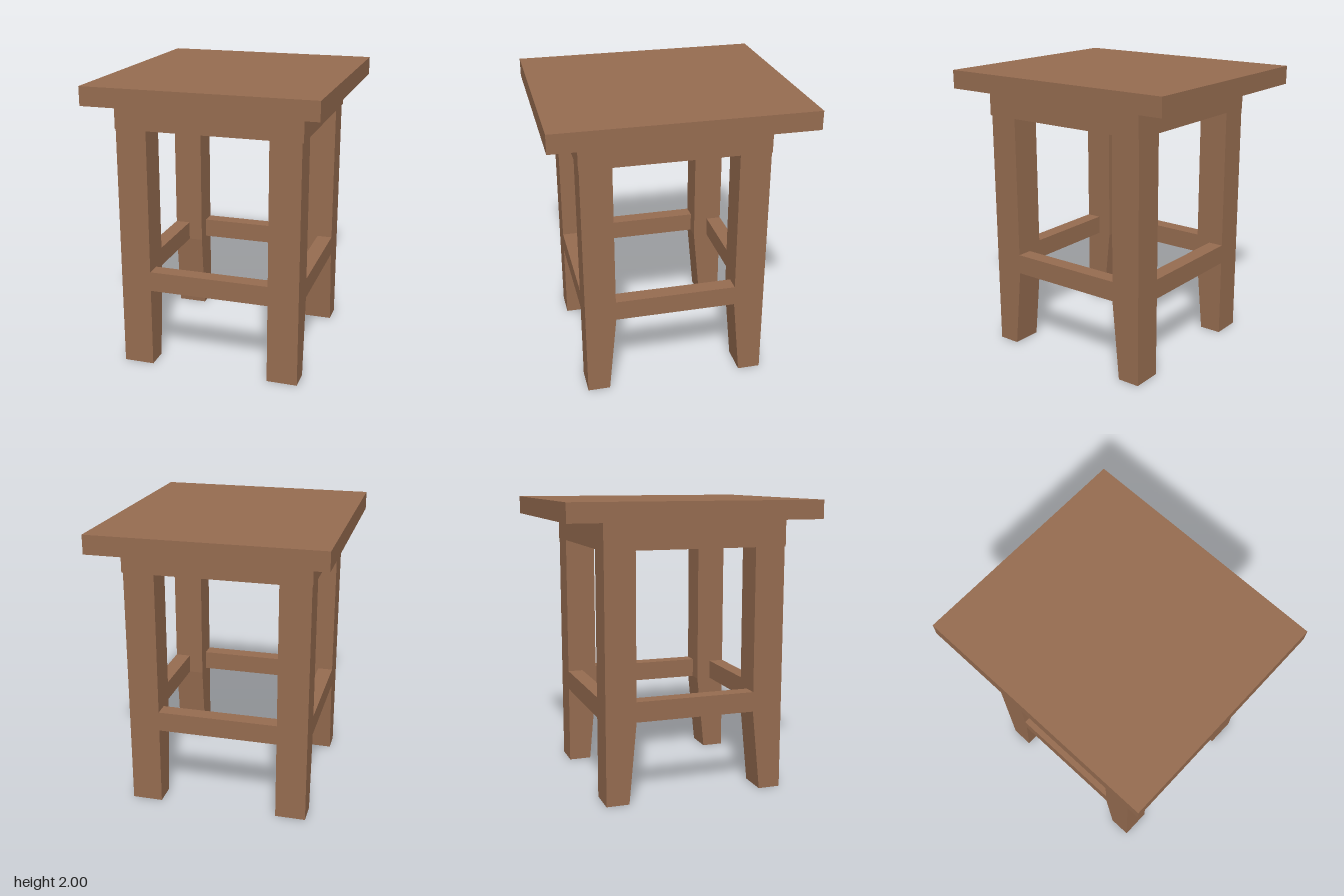
import * as THREE from 'three';

export function createModel() {
  const model = new THREE.Group();
  model.name = 'stool';
  const wood = new THREE.MeshStandardMaterial({ color: 0x966c50 });
  wood.name = 'brown wood';

  // Box given by its extents on each axis
  function box(name, [x0, x1], [y0, y1], [z0, z1]) {
    const mesh = new THREE.Mesh(new THREE.BoxGeometry(x1 - x0, y1 - y0, z1 - z0), wood);
    mesh.position.set((x0 + x1) / 2, (y0 + y1) / 2, (z0 + z1) / 2);
    mesh.name = name;
    model.add(mesh);
  }

  // Leg: side profile tapering on its inner face, extruded along x
  function leg(name, [x0, x1], outer, inner, foot) {
    const profile = new THREE.Shape([
      new THREE.Vector2(outer, 0),
      new THREE.Vector2(outer, 1.69),
      new THREE.Vector2(inner, 1.69),
      new THREE.Vector2(inner, 0.56),
      new THREE.Vector2(foot, 0),
    ]);
    const geometry = new THREE.ExtrudeGeometry(profile, { depth: x1 - x0, bevelEnabled: false });
    geometry.rotateY(-Math.PI / 2);
    geometry.translate(x1, 0, 0);
    const mesh = new THREE.Mesh(geometry, wood);
    mesh.name = name;
    model.add(mesh);
  }

  // Seat slab and the solid block below it
  box('seat', [-0.777, 0.777], [1.873, 2], [-0.867, 0.867]);
  box('apron', [-0.635, 0.636], [1.688, 1.873], [-0.6, 0.666]);

  // Four legs and the side rails, flush with the outer leg faces
  const rail = [0.56, 0.698];
  const sides = [
    { side: 'left', x: [0.414, 0.626], railX: [0.518, 0.626] },
    { side: 'right', x: [-0.631, -0.42], railX: [-0.631, -0.523] },
  ];
  for (const { side, x, railX } of sides) {
    leg(`${side}FrontLeg`, x, 0.661, 0.45, 0.507);
    leg(`${side}BackLeg`, x, -0.598, -0.387, -0.44);
    box(`${side}Rail`, railX, rail, [-0.387, 0.45]);
  }

  // Front and back rails
  box('frontRail', [-0.42, 0.414], rail, [0.553, 0.661]);
  box('backRail', [-0.42, 0.414], rail, [-0.598, -0.49]);

  return model;
}
